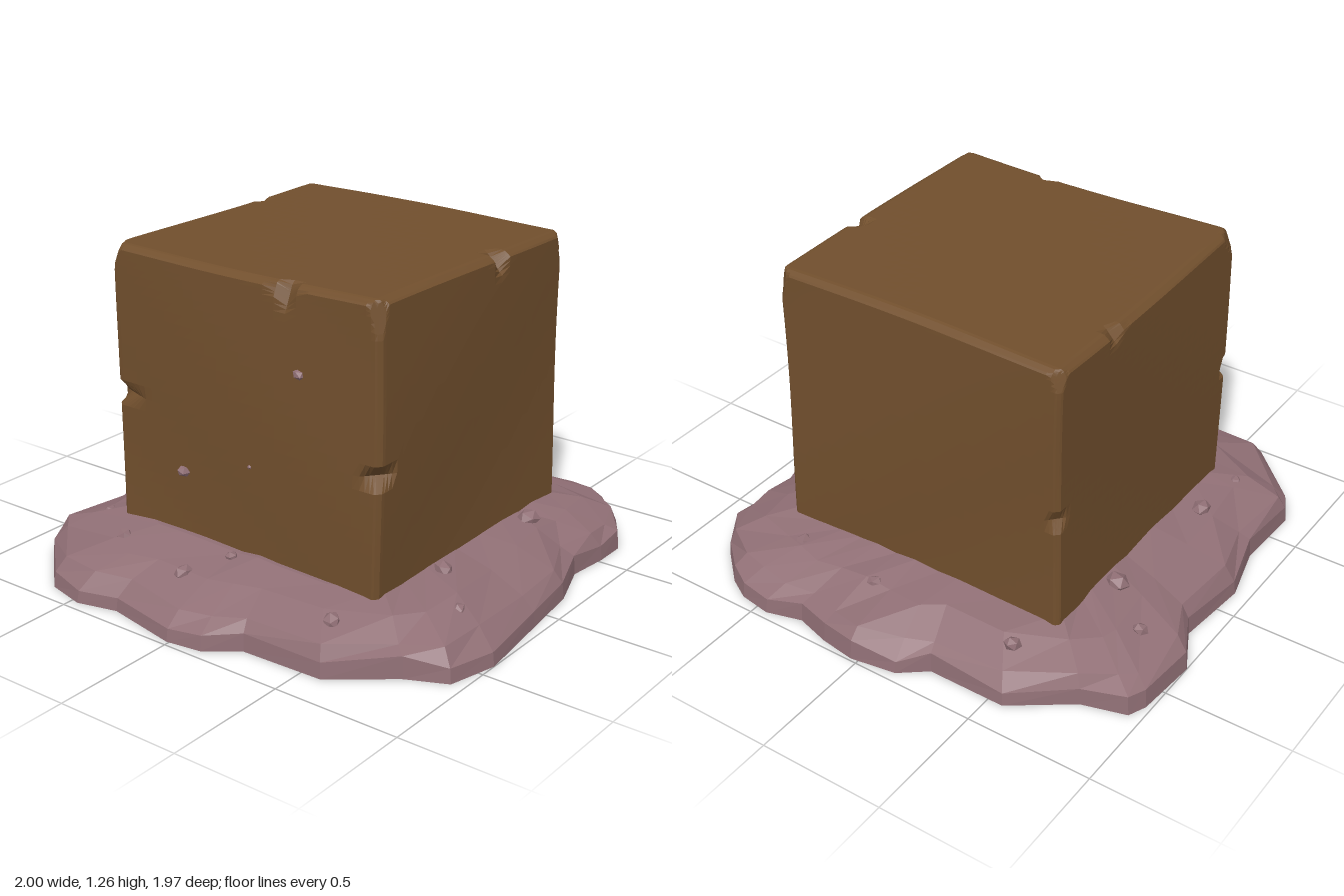
import * as THREE from 'three';

const mat = (name, color) => {
  const m = new THREE.MeshStandardMaterial({ color, flatShading: true });
  m.name = name;
  return m;
};

// Small repeatable noise in -1..1
const noise = (n) => {
  const s = Math.sin(n * 127.1 + 11.7) * 43758.5453;
  return 2 * (s - Math.floor(s)) - 1;
};

// Ground outline as x, z pairs
const OUTLINE = [
  0.03, -0.99, 0.17, -0.97, 0.31, -0.93, 0.45, -0.97, 0.58, -0.95, 0.67, -0.9, 0.8, -0.78, 0.88, -0.65,
  0.88, -0.52, 0.86, -0.35, 0.93, -0.15, 0.96, 0.1, 1, 0.43, 0.95, 0.62, 0.8, 0.69, 0.58, 0.86,
  0.25, 0.87, 0.13, 0.96, -0.01, 0.98, -0.31, 0.92, -0.47, 0.96, -0.63, 0.92, -0.85, 0.71, -0.89, 0.63,
  -0.88, 0.35, -0.94, 0.12, -0.91, -0.18, -1, -0.35, -0.98, -0.6, -0.95, -0.67, -0.78, -0.72,
  -0.56, -0.88, -0.25, -0.88, -0.15, -0.96,
];

// Rings of the ground: share of the way to the block, height, height jitter
const RINGS = [[0, 0, 0], [0.02, 0.065, 0.02], [0.16, 0.11, 0.012], [0.55, 0.165, 0.012], [1.02, 0.195, 0.007]];

function groundGeometry() {
  const n = OUTLINE.length / 2;
  const pos = [];
  RINGS.forEach(([t, y, jitter], k) => {
    for (let i = 0; i < n; i++) {
      const x = OUTLINE[2 * i], z = OUTLINE[2 * i + 1];
      const f = 0.59 / Math.max(Math.abs(x), Math.abs(z)); // reaches the square foot of the block
      const s = 1 + (f - 1) * (t + (k === 2 || k === 3 ? 0.06 * noise(i + 50 * k) : 0));
      pos.push(x * s, y + jitter * noise(i * 3 + k * 7), z * s);
    }
  });
  const bottom = pos.length / 3;
  pos.push(0, 0, 0, 0, 0.19, 0);
  const index = [];
  const last = (RINGS.length - 1) * n;
  for (let i = 0; i < n; i++) {
    const j = (i + 1) % n;
    for (let k = 0; k < RINGS.length - 1; k++) {
      const a = k * n + i, b = k * n + j, c = a + n, d = b + n;
      index.push(a, c, b, b, c, d);
    }
    index.push(bottom, i, j, bottom + 1, last + j, last + i);
  }
  const geo = new THREE.BufferGeometry();
  geo.setAttribute('position', new THREE.Float32BufferAttribute(pos, 3));
  geo.setIndex(index);
  geo.computeVertexNormals();
  return geo;
}

// Block: half sizes, centre
const HALF = [0.603, 0.575, 0.585];
const CENTRE = [0, 0.68, -0.017];

// Cuts: point on the edge (-1..1 per axis), then the reach along each axis
const CUTS = [
  // worn edges
  [0.1, 1, 1, 3, 0.02, 0.035], [-0.2, 1, -1, 3, 0.02, 0.03],
  [1, 1, 0.2, 0.03, 0.02, 3], [-1, 1, -0.2, 0.025, 0.02, 3],
  [1, 0.1, 1, 0.02, 3, 0.025], [-1, 0.2, 1, 0.022, 3, 0.02],
  [1, 0, -1, 0.02, 3, 0.02], [-1, -0.1, -1, 0.02, 3, 0.02],
  // worn corners
  [1, 1, 1, 0.05, 0.2, 0.06], [-1, 1, 1, 0.05, 0.12, 0.1],
  [1, 1, -1, 0.05, 0.2, 0.05], [-1, 1, -1, 0.05, 0.12, 0.05],
  // chips
  [-1, -0.01, 1, 0.18, 0.035, 0.06], [1, -0.09, 1, 0.09, 0.04, 0.11],
  [-1, -0.06, -1, 0.09, 0.04, 0.1], [1, 1, -0.25, 0.08, 0.09, 0.06],
  [-1, 1, -0.4, 0.07, 0.08, 0.05], [0.33, 1, 1, 0.08, 0.12, 0.05],
];

function blockGeometry() {
  const geo = new THREE.BoxGeometry(2, 2, 2, 36, 36, 36);
  const p = geo.attributes.position;
  for (let i = 0; i < p.count; i++) {
    // crowd the grid towards the edges so that chips stay crisp
    const u = [p.getX(i), p.getY(i), p.getZ(i)].map((v) => Math.sin((v * Math.PI) / 2));
    const q = u.map((v, a) => v * HALF[a]);
    for (const cut of CUTS) {
      const reach = cut.slice(3);
      let s = 0;
      for (let a = 0; a < 3; a++) s += Math.abs(q[a] - cut[a] * HALF[a]) / reach[a];
      if (s >= 1) continue;
      const axes = [0, 1, 2].filter((a) => Math.abs(cut[a]) === 1);
      for (const a of axes) q[a] -= (cut[a] * reach[a] * (1 - s)) / axes.length;
    }
    // gentle unevenness of the faces
    const [x, y, z] = q;
    q[0] += 0.006 * Math.sin(4 * y + 3 * z) * u[0];
    q[1] += 0.006 * Math.sin(4 * x - 3 * z) * Math.max(u[1], 0);
    q[2] += 0.007 * Math.sin(3 * x + 4 * y + 1) * u[2];
    p.setXYZ(i, q[0] + CENTRE[0], q[1] + CENTRE[1], q[2] + CENTRE[2]);
  }
  geo.computeVertexNormals();
  return geo;
}

// Pebbles on the ground: x, z, radius, height
const PEBBLES = [
  [-0.83, -0.4, 0.033, 0.14], [-0.65, -0.27, 0.052, 0.185], [-0.68, 0.3, 0.043, 0.18], [-0.69, 0.55, 0.032, 0.16],
  [-0.48, 0.69, 0.034, 0.17], [-0.12, 0.76, 0.04, 0.15], [-0.02, 0.61, 0.028, 0.185], [0.53, 0.73, 0.038, 0.15],
  [0.82, 0.39, 0.033, 0.14], [0.65, 0.23, 0.042, 0.185], [0.66, -0.33, 0.048, 0.185], [0.47, -0.71, 0.04, 0.155],
  [0.1, -0.75, 0.035, 0.16], [-0.51, -0.74, 0.036, 0.16],
];
// Pebbles stuck in the front face: x, y, radius
const STUCK = [[0.265, 0.94, 0.025], [-0.28, 0.44, 0.028], [0.04, 0.54, 0.012]];

export function createModel() {
  const group = new THREE.Group();
  const earth = mat('brown earth', 0x714f2d);
  const stone = mat('mauve stone', 0x906f75);

  const add = (name, geo, material) => {
    const mesh = new THREE.Mesh(geo, material);
    mesh.name = name;
    group.add(mesh);
    return mesh;
  };

  add('ground', groundGeometry(), stone);
  add('block', blockGeometry(), earth);

  const pebbleShape = new THREE.IcosahedronGeometry(1, 0);
  const pebble = (i, x, y, z, r) => {
    const mesh = add('pebble', pebbleShape, stone);
    mesh.position.set(x, y, z);
    mesh.scale.set(r, r * 0.75, r * 0.85);
    mesh.rotation.set(0.5 * noise(i), 3 * noise(i + 20), 0.5 * noise(i + 40));
  };
  PEBBLES.forEach(([x, z, r, y], i) => pebble(i, x, y, z, r));
  STUCK.forEach(([x, y, r], i) => pebble(i + 60, x, y, 0.568, r));

  return group;
}
